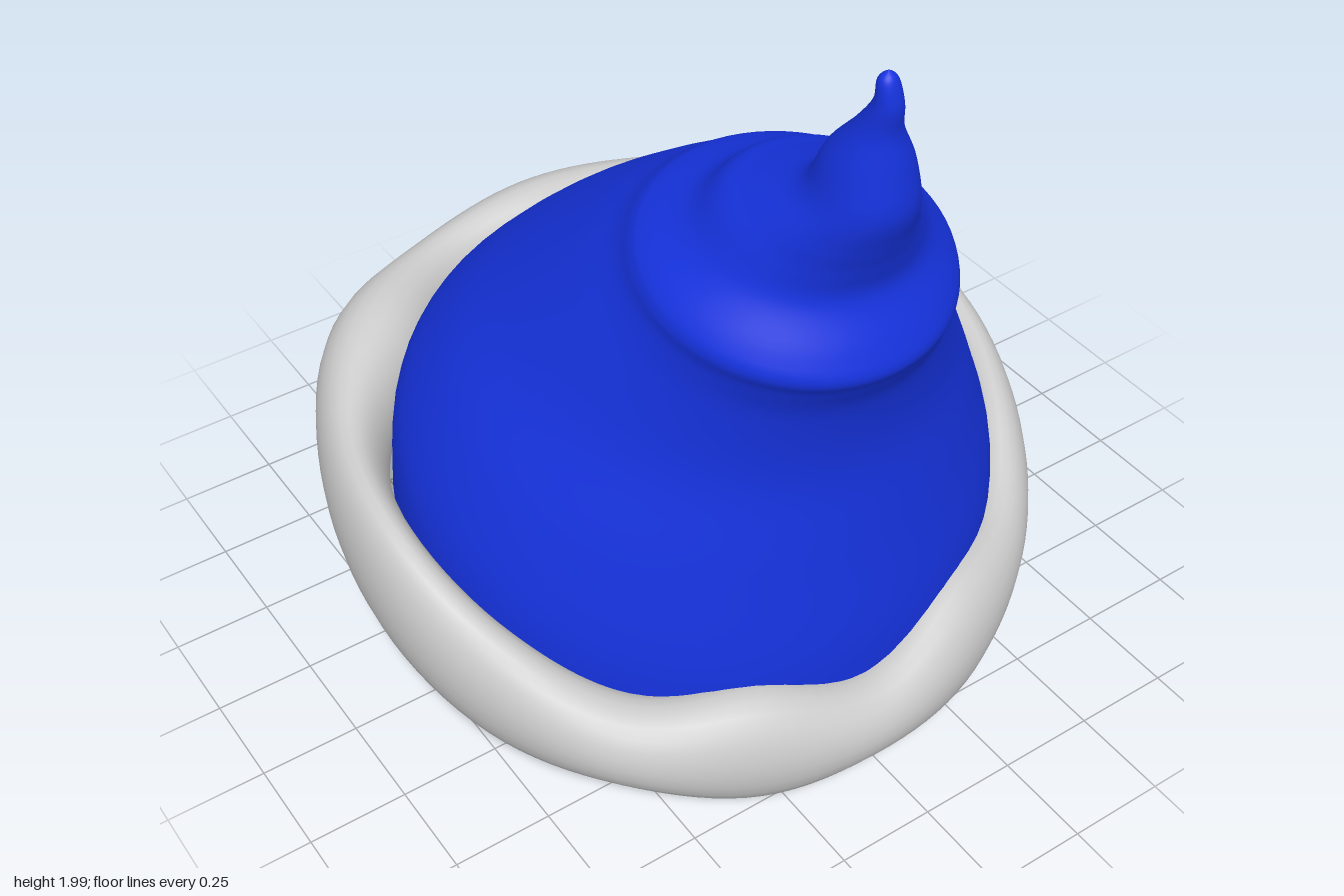
import * as THREE from 'three';

// Hat rings from brim to tip: front z, front y, back z, back y, centre x, half width
const HAT_RINGS = [
  [0.73, 0.08, -0.74, 0.56, 0.01, 0.77],
  [0.74, 0.35, -0.69, 0.76, 0.01, 0.76],
  [0.715, 0.65, -0.55, 0.92, 0, 0.665],
  [0.70, 0.90, -0.35, 1.10, 0, 0.54],
  [0.73, 1.10, -0.10, 1.29, -0.015, 0.43],
  [0.775, 1.20, 0.03, 1.38, -0.02, 0.385],
  [0.80, 1.25, 0.10, 1.435, -0.03, 0.367],
  [0.785, 1.31, 0.14, 1.455, -0.03, 0.345],
  [0.745, 1.42, 0.25, 1.50, -0.03, 0.27],
  [0.76, 1.50, 0.33, 1.57, -0.04, 0.215],
  [0.785, 1.57, 0.42, 1.605, -0.05, 0.17],
  [0.815, 1.66, 0.56, 1.67, -0.055, 0.12],
  [0.81, 1.76, 0.62, 1.77, -0.06, 0.09],
  [0.80, 1.85, 0.70, 1.86, -0.07, 0.05],
  [0.81, 1.92, 0.75, 1.93, -0.075, 0.032],
  [0.80, 1.98, 0.76, 1.98, -0.08, 0.022],
  [0.78, 2.00, 0.78, 2.00, -0.08, 0],
];

// Trim sections every 22.5 degrees from the front: outer radius, inner radius, bottom y, top y
const TRIM_SECTIONS = [
  [0.86, 0.66, 0.04, 0.26],
  [0.86, 0.63, 0.02, 0.36],
  [0.87, 0.70, 0.14, 0.37],
  [0.89, 0.73, 0.17, 0.49],
  [0.915, 0.77, 0.29, 0.59],
  [0.92, 0.76, 0.40, 0.71],
  [0.93, 0.71, 0.50, 0.75],
  [0.88, 0.68, 0.49, 0.79],
  [0.86, 0.66, 0.53, 0.81],
  [0.885, 0.71, 0.49, 0.77],
  [0.94, 0.69, 0.47, 0.77],
  [0.93, 0.76, 0.37, 0.68],
  [0.92, 0.77, 0.25, 0.62],
  [0.90, 0.73, 0.14, 0.46],
  [0.90, 0.70, 0.11, 0.34],
  [0.87, 0.64, 0.01, 0.34],
];

// Smoothly interpolates the rows of a table at a fractional row number
function sample(table, u, closed) {
  const n = table.length;
  const i = Math.floor(u), t = u - i;
  const row = (k) => table[closed ? (k + n) % n : Math.min(Math.max(k, 0), n - 1)];
  const [a, b, c, d] = [row(i - 1), row(i), row(i + 1), row(i + 2)];
  return b.map((v, k) => v + 0.5 * t * (c[k] - a[k]
    + t * (2 * a[k] - 5 * v + 4 * c[k] - d[k] + t * (3 * (v - c[k]) + d[k] - a[k]))));
}

// Skins rows of points; columns always wrap around, rows wrap when closed
function skin(rows, cols, closed, point) {
  const pos = [], index = [];
  for (let i = 0; i < rows; i++) {
    for (let j = 0; j < cols; j++) pos.push(...point(i, (j / cols) * Math.PI * 2));
  }
  const id = (i, j) => (i % rows) * cols + (j % cols);
  for (let i = 0; i < (closed ? rows : rows - 1); i++) {
    for (let j = 0; j < cols; j++) {
      index.push(id(i, j), id(i, j + 1), id(i + 1, j));
      index.push(id(i, j + 1), id(i + 1, j + 1), id(i + 1, j));
    }
  }
  const g = new THREE.BufferGeometry();
  g.setAttribute('position', new THREE.Float32BufferAttribute(pos, 3));
  g.setIndex(index);
  g.computeVertexNormals();
  return g;
}

export function createModel() {
  const group = new THREE.Group();
  group.name = 'pointedHat';

  // Leaning cone with folds, open underneath
  const steps = 6;
  const cone = new THREE.Mesh(
    skin((HAT_RINGS.length - 1) * steps + 1, 72, false, (i, a) => {
      const [fz, fy, bz, by, cx, hw] = sample(HAT_RINGS, i / steps, false);
      const k = (1 + Math.cos(a)) / 2;
      return [cx + hw * Math.sin(a), by + (fy - by) * k, bz + (fz - bz) * k];
    }),
    new THREE.MeshStandardMaterial({ color: 0x1633e0, side: THREE.DoubleSide }),
  );
  cone.name = 'cone';
  group.add(cone);

  // Lumpy tilted fur band around the opening
  const sides = 24;
  const trim = new THREE.Mesh(
    skin(sides, 128, true, (i, a) => {
      const u = (a / (Math.PI * 2)) * TRIM_SECTIONS.length;
      const [outer, inner, bottom, top] = sample(TRIM_SECTIONS, u, true);
      const t = (i / sides) * Math.PI * 2;
      const r = (outer + inner) / 2 + ((outer - inner) / 2) * Math.cos(t);
      const y = (top + bottom) / 2 + ((top - bottom) / 2) * Math.sin(t);
      return [r * Math.sin(a), y, r * Math.cos(a)];
    }),
    new THREE.MeshStandardMaterial({ color: 0xcccccc }),
  );
  trim.name = 'furTrim';
  group.add(trim);

  return group;
}
